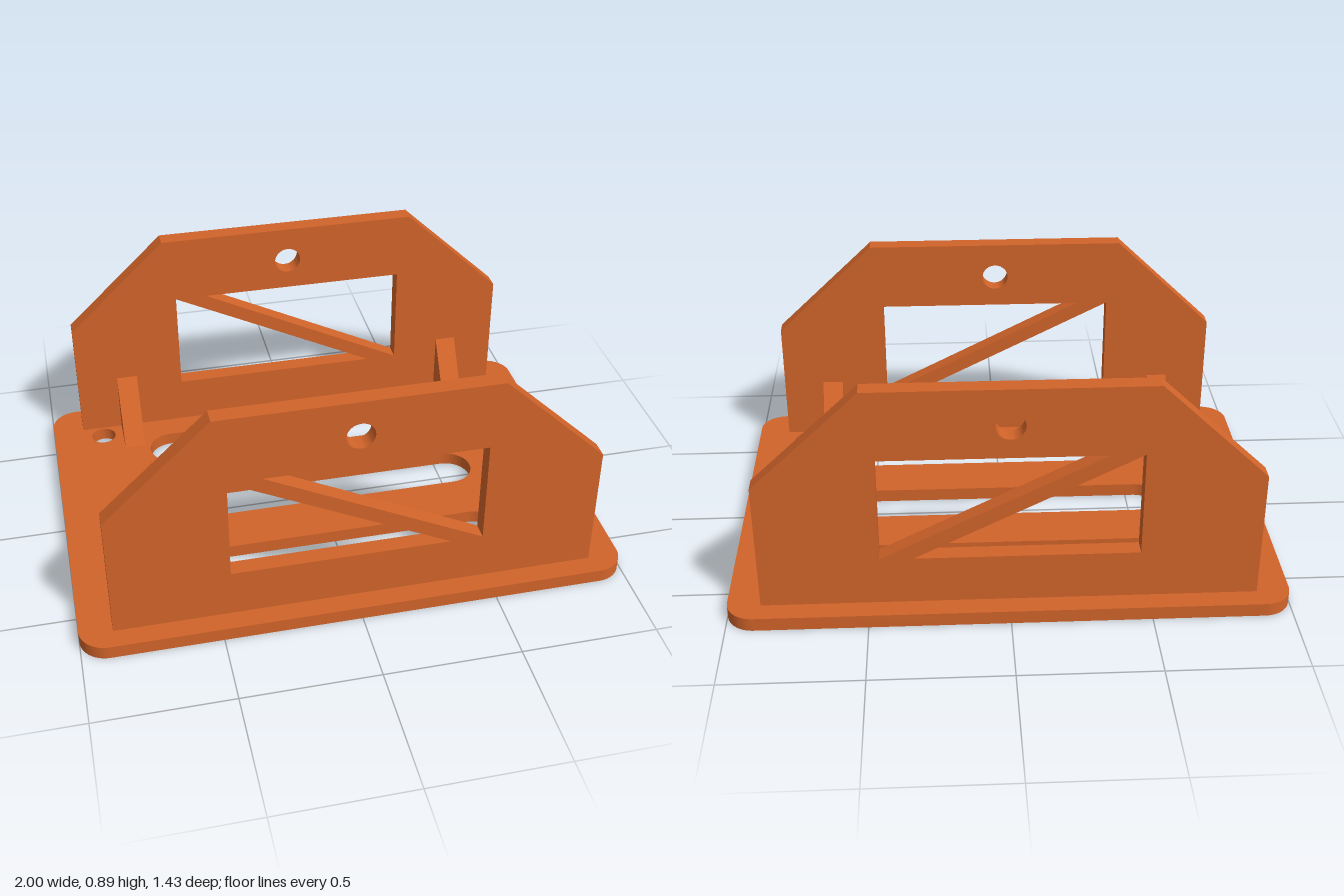
import * as THREE from 'three';
import { toCreasedNormals } from 'three/addons/utils/BufferGeometryUtils.js';

const BASE_H = 0.05, WALL_Z = 0.608, WALL_T = 0.063;
const material = new THREE.MeshStandardMaterial({ color: 0xd2642a });

const polygon = (pts) => new THREE.Shape(pts.map(([x, y]) => new THREE.Vector2(x, y)));

const circle = (x, y, r) => new THREE.Path().absarc(x, y, r, 0, Math.PI * 2, true);

// Horizontal slot with rounded ends
function slot(y, halfLength, r) {
  const c = halfLength - r;
  const p = new THREE.Path();
  p.absarc(c, y, r, -Math.PI / 2, Math.PI / 2, false);
  p.absarc(-c, y, r, Math.PI / 2, Math.PI * 1.5, false);
  p.closePath();
  return p;
}

function roundedRect(w, d, r) {
  const s = new THREE.Shape();
  s.absarc(w - r, d - r, r, 0, Math.PI / 2, false);
  s.absarc(-w + r, d - r, r, Math.PI / 2, Math.PI, false);
  s.absarc(-w + r, -d + r, r, Math.PI, Math.PI * 1.5, false);
  s.absarc(w - r, -d + r, r, Math.PI * 1.5, Math.PI * 2, false);
  s.closePath();
  return s;
}

// Extrusion centred on its depth, smooth only around curves
function plate(name, shape, depth) {
  const geo = new THREE.ExtrudeGeometry(shape, { depth, bevelEnabled: false, curveSegments: 20 });
  geo.translate(0, 0, -depth / 2);
  const mesh = new THREE.Mesh(toCreasedNormals(geo, 0.5), material);
  mesh.name = name;
  return mesh;
}

// Base plate with vent slots and screw holes
function createBase() {
  const shape = roundedRect(1, 0.717, 0.1);
  for (const z of [-0.38, 0, 0.38]) shape.holes.push(slot(z, 0.622, 0.093));
  for (const x of [-0.8, 0.8]) for (const z of [-0.52, 0.52]) shape.holes.push(circle(x, z, 0.048));
  const base = plate('basePlate', shape, BASE_H);
  base.rotation.x = -Math.PI / 2;
  base.position.y = BASE_H / 2;
  return base;
}

// Upright wall: chamfered shoulders, round hole, window split by a diagonal brace
function createWall(name, z) {
  const shape = polygon([
    [-0.88, BASE_H], [0.88, BASE_H], [0.88, 0.53], [0.5, 0.89], [-0.5, 0.89], [-0.88, 0.53],
  ]);
  shape.holes.push(
    circle(0, 0.752, 0.051),
    polygon([[-0.457, 0.63], [-0.457, 0.232], [0.338, 0.232]]),
    polygon([[-0.335, 0.63], [0.457, 0.63], [0.457, 0.232]]),
  );
  const wall = plate(name, shape, WALL_T);
  wall.position.z = z;
  return wall;
}

// Triangular gusset on the inner face of a wall
function createGusset(name, x, side) {
  const inner = WALL_Z - WALL_T / 2;
  const shape = polygon([
    [side * inner, BASE_H], [side * 0.417, BASE_H], [side * inner, 0.288],
  ]);
  const gusset = plate(name, shape, 0.081);
  gusset.rotation.y = -Math.PI / 2;
  gusset.position.x = x;
  return gusset;
}

export function createModel() {
  const model = new THREE.Group();
  model.name = 'mountingBracket';
  model.add(createBase());
  for (const [end, side] of [['front', 1], ['back', -1]]) {
    model.add(createWall(end + 'Wall', side * WALL_Z));
    model.add(createGusset(end + 'LeftGusset', 0.68, side));
    model.add(createGusset(end + 'RightGusset', -0.68, side));
  }
  return model;
}
